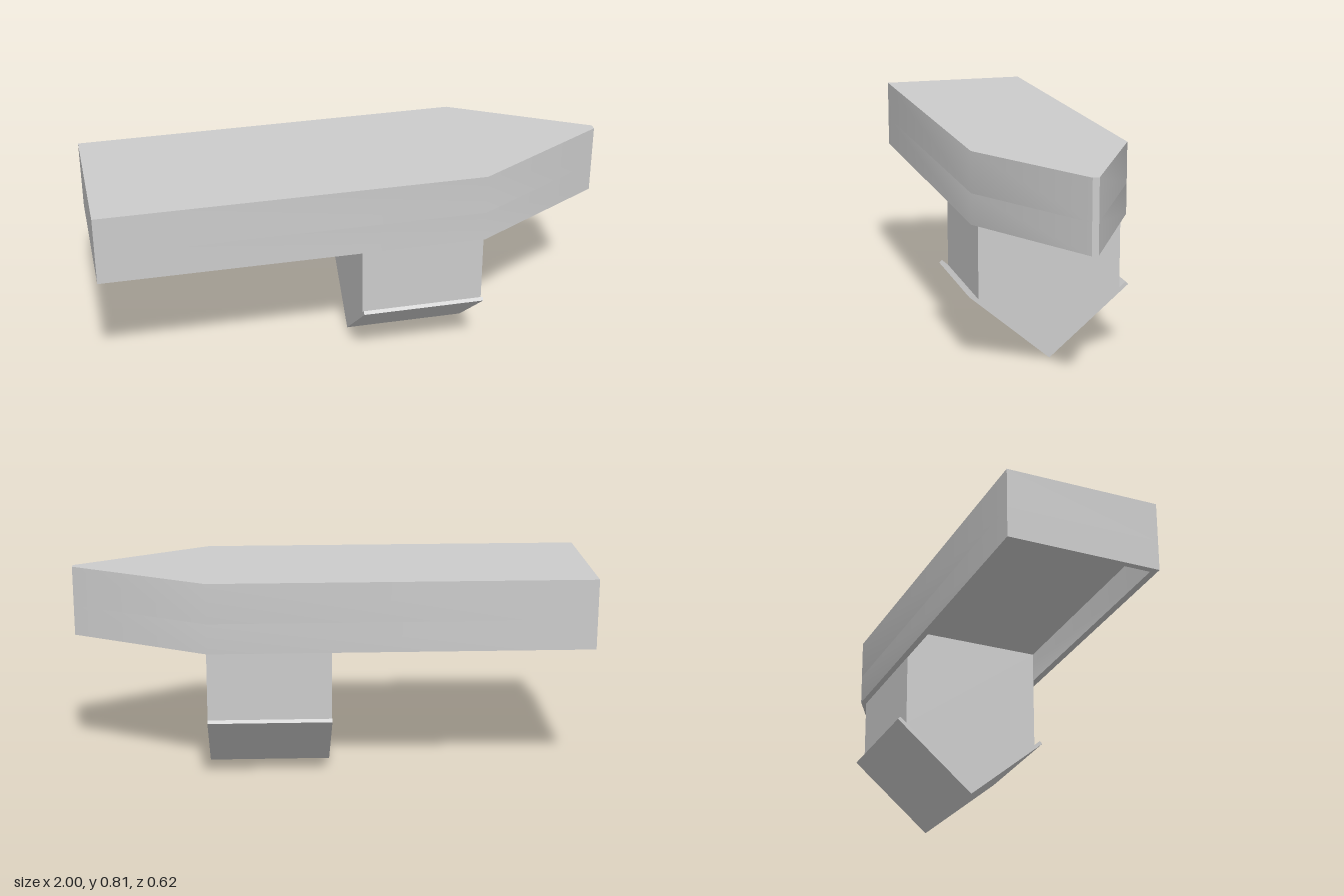
import * as THREE from 'three';
import { toCreasedNormals } from 'three/addons/utils/BufferGeometryUtils.js';

const material = new THREE.MeshStandardMaterial({ color: 0xcccccc });
const points = (list) => list.map(([a, b]) => new THREE.Vector2(a, b));
const extrude = (shape, depth) =>
  new THREE.ExtrudeGeometry(shape, { depth, bevelEnabled: false });

// Normals blend across the shallow bend towards the tip; other edges stay sharp
function addPart(group, name, geometry) {
  const mesh = new THREE.Mesh(toCreasedNormals(geometry, 0.6), material);
  mesh.name = name;
  group.add(mesh);
}

export function createModel() {
  const model = new THREE.Group();
  model.name = 'pointedTrayWithHouse';

  // Plan outlines as (x, z); the hole runs the opposite way round
  const bottom = 0.537, ceiling = 0.655, top = 0.811;
  const outer = [[-1, 0.299], [0.48, 0.299], [1, 0.01], [1, -0.015], [0.48, -0.297], [-1, -0.297]];
  const inner = [[-0.975, -0.273], [0.474, -0.273], [0.97, -0.002], [0.474, 0.274], [-0.975, 0.274]];

  // Solid upper slab of the tray
  const slab = extrude(new THREE.Shape(points(outer)), top - ceiling);
  slab.rotateX(Math.PI / 2).translate(0, top, 0);
  addPart(model, 'traySlab', slab);

  // Rim hanging below the slab, open underneath
  const rimShape = new THREE.Shape(points(outer));
  rimShape.holes.push(new THREE.Path(points(inner)));
  const rim = extrude(rimShape, ceiling - bottom);
  rim.rotateX(Math.PI / 2).translate(0, ceiling, 0);
  addPart(model, 'trayRim', rim);

  // Upside-down house: walls up to the tray, gabled roof with eaves below
  const half = [[0.309, 0.263], [0.299, 0.274], [0.274, 0.252], [0.274, ceiling]];
  const profile = [[0, 0], ...half, ...half.slice().reverse().map(([z, y]) => [-z, y])];
  const house = extrude(new THREE.Shape(points(profile)), 0.477);
  house.rotateY(Math.PI / 2).translate(0.005, 0, 0);
  addPart(model, 'house', house);

  return model;
}
